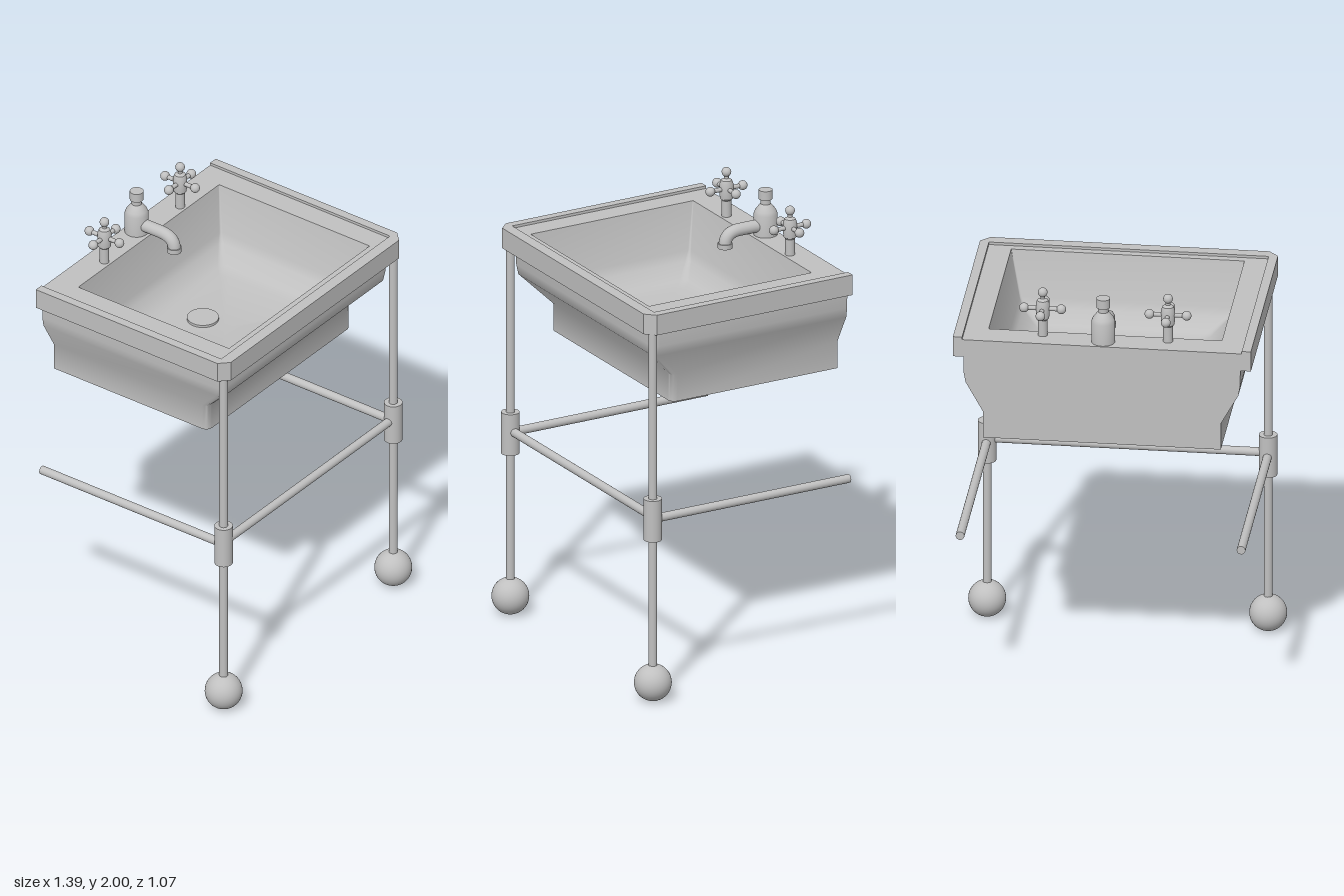
import * as THREE from 'three';
import { toCreasedNormals } from 'three/addons/utils/BufferGeometryUtils.js';

const porcelain = new THREE.MeshStandardMaterial({ color: 0xc0c0c0 });
porcelain.name = 'pale grey';

const BACK = -0.53, SINK_X = -0.006, LEG_X = 0.612, LEG_Z = 0.452;

function add(parent, name, geometry, x = 0, y = 0, z = 0) {
  const mesh = new THREE.Mesh(geometry, porcelain);
  mesh.name = name;
  mesh.position.set(x, y, z);
  parent.add(mesh);
  return mesh;
}

// Rectangle in plan, [x, z] points anticlockwise from above, n segments per rounded corner
function outline(hx, zb, zf, rb, rf, n) {
  const points = [];
  [[1, zf, 1, rf], [1, zb, -1, rb], [-1, zb, -1, rb], [-1, zf, 1, rf]].forEach(([sx, z, sz, r], k) => {
    const steps = r > 0 ? n : 0;
    for (let i = 0; i <= steps; i++) {
      const a = (k - 1 + (steps ? i / steps : 0)) * Math.PI / 2;
      points.push([sx * (hx - r) + r * Math.cos(a), z - sz * r - r * Math.sin(a)]);
    }
  });
  return points;
}

// Skin over sections [y, hx, zBack, zFront, rBack, rFront], capped at one end
function loft(sections, capFirst) {
  const rings = sections.map(([y, ...s]) => outline(...s, 4).map(([x, z]) => [x, y, z]));
  const pos = [], n = rings[0].length;
  const tri = (...v) => v.forEach(p => pos.push(...p));
  for (let j = 0; j < rings.length - 1; j++) {
    for (let i = 0; i < n; i++) {
      const k = (i + 1) % n, a = rings[j], b = rings[j + 1];
      tri(a[i], a[k], b[k]);
      tri(a[i], b[k], b[i]);
    }
  }
  const s = capFirst ? 0 : sections.length - 1;
  const ring = rings[s], centre = [0, sections[s][0], (sections[s][2] + sections[s][3]) / 2];
  for (let i = 0; i < n; i++) {
    const k = (i + 1) % n;
    if (capFirst) tri(centre, ring[k], ring[i]);
    else tri(centre, ring[i], ring[k]);
  }
  const g = new THREE.BufferGeometry();
  g.setAttribute('position', new THREE.Float32BufferAttribute(pos, 3));
  // Enlarged while creasing so that nearby corner points stay distinct
  return toCreasedNormals(g.scale(10, 10, 10), 0.9).scale(0.1, 0.1, 0.1);
}

// Horizontal plate from [x, z] points, standing on y = 0
function plate(points, height, hole) {
  const vec = p => p.map(([x, z]) => new THREE.Vector2(x, -z));
  const shape = new THREE.Shape(vec(points));
  if (hole) shape.holes.push(new THREE.Path(vec(hole)));
  return new THREE.ExtrudeGeometry(shape, { depth: height, bevelEnabled: false }).rotateX(-Math.PI / 2);
}

const lathe = (profile, sides = 32) => toCreasedNormals(
  new THREE.LatheGeometry(profile.map(p => new THREE.Vector2(...p)), sides).scale(10, 10, 10), 0.5).scale(0.1, 0.1, 0.1);

function makeSink() {
  const sink = new THREE.Group();
  sink.name = 'sink';
  sink.position.x = SINK_X;
  // Outer basin, flat at the back
  add(sink, 'basinOutside', loft([
    [1.314, 0.518, BACK, 0.3, 0, 0.03],
    [1.438, 0.518, BACK, 0.3, 0, 0.03],
    [1.575, 0.594, BACK, 0.432, 0, 0.03],
    [1.62, 0.602, BACK, 0.438, 0, 0.03],
    [1.7, 0.603, BACK, 0.438, 0, 0.03],
  ], true));
  // Hollow of the basin
  add(sink, 'basinInside', loft([
    [1.776, 0.508, -0.406, 0.407, 0.004, 0.004],
    [1.57, 0.465, -0.365, 0.366, 0.01, 0.01],
    [1.53, 0.447, -0.35, 0.35, 0.02, 0.02],
    [1.475, 0.38, -0.295, 0.295, 0.03, 0.03],
    [1.46, 0.335, -0.25, 0.25, 0.03, 0.03],
  ], false));
  // Rim slab with chamfered front corners
  add(sink, 'rim', plate(outline(0.649, BACK, 0.492, 0, 0.042, 1), 0.081,
    outline(0.508, -0.406, 0.407, 0, 0, 1)), 0, 1.695, 0);
  // Raised lip round the front and sides
  const lip = [[-0.649, BACK], [-0.649, 0.45], [-0.607, 0.492], [0.607, 0.492], [0.649, 0.45], [0.649, BACK],
    [0.609, BACK], [0.609, 0.441], [-0.609, 0.441], [-0.609, BACK]];
  add(sink, 'lip', plate(lip, 0.012), 0, 1.776, 0);
  add(sink, 'drain', new THREE.CylinderGeometry(0.069, 0.069, 0.012, 40), 0.002, 1.465, -0.115);
  return sink;
}

function makeFaucet() {
  const faucet = new THREE.Group();
  faucet.name = 'faucet';
  faucet.position.set(-0.005, 0, -0.472);
  add(faucet, 'faucetBody', lathe([[0.052, 1.77], [0.052, 1.872], [0.046, 1.888], [0.03, 1.91], [0.022, 1.918],
    [0.022, 1.938], [0.03, 1.94], [0.03, 1.982], [0, 1.982]]));
  // Spout bends down over the basin
  const path = new THREE.CurvePath();
  const v = (y, z) => new THREE.Vector3(0, y, z);
  path.add(new THREE.LineCurve3(v(1.822, 0), v(1.822, 0.13)));
  path.add(new THREE.CubicBezierCurve3(v(1.822, 0.13), v(1.822, 0.175), v(1.805, 0.203), v(1.765, 0.203)));
  add(faucet, 'spout', new THREE.TubeGeometry(path, 28, 0.028, 20));
  add(faucet, 'spoutTip', new THREE.CylinderGeometry(0.032, 0.032, 0.022, 24), 0, 1.762, 0.203);
  return faucet;
}

function makeTap(name, x) {
  const tap = new THREE.Group();
  tap.name = name;
  tap.position.set(x, 0, -0.438);
  add(tap, 'tapStem', lathe([[0.021, 1.77], [0.021, 1.85], [0.028, 1.858], [0.03, 1.875], [0.03, 1.925],
    [0.024, 1.942], [0.01, 1.95], [0.01, 1.98]], 24));
  add(tap, 'tapTopKnob', new THREE.SphereGeometry(0.021, 20, 14), 0, 1.979, 0);
  // Four arms with ball ends
  for (let i = 0; i < 4; i++) {
    const arm = new THREE.Group();
    arm.name = 'tapArm';
    arm.position.y = 1.902;
    arm.rotation.y = i * Math.PI / 2;
    add(arm, 'armRod', new THREE.CylinderGeometry(0.01, 0.01, 0.08, 12).rotateZ(Math.PI / 2), 0.04, 0, 0);
    add(arm, 'armKnob', new THREE.SphereGeometry(0.021, 20, 14), 0.081, 0, 0);
    tap.add(arm);
  }
  return tap;
}

function makeStand() {
  const stand = new THREE.Group();
  stand.name = 'stand';
  for (const side of [1, -1]) {
    const x = side * LEG_X;
    add(stand, 'leg', new THREE.CylinderGeometry(0.019, 0.019, 1.6, 20), x, 0.9, LEG_Z);
    add(stand, 'footBall', new THREE.SphereGeometry(0.082, 36, 24), x, 0.082, LEG_Z);
    add(stand, 'collar', new THREE.CylinderGeometry(0.04, 0.04, 0.19, 28), x, 0.837, LEG_Z);
    const length = LEG_Z - BACK;
    add(stand, 'sideBar', new THREE.CylinderGeometry(0.019, 0.019, length, 20).rotateX(Math.PI / 2),
      x, 0.837, BACK + length / 2);
  }
  add(stand, 'frontBar', new THREE.CylinderGeometry(0.019, 0.019, 2 * LEG_X, 20).rotateZ(Math.PI / 2), 0, 0.847, LEG_Z);
  return stand;
}

export function createModel() {
  const model = new THREE.Group();
  model.name = 'washstand';
  model.add(makeSink(), makeFaucet(), makeTap('rightTap', -0.283), makeTap('leftTap', 0.263), makeStand());
  return model;
}
